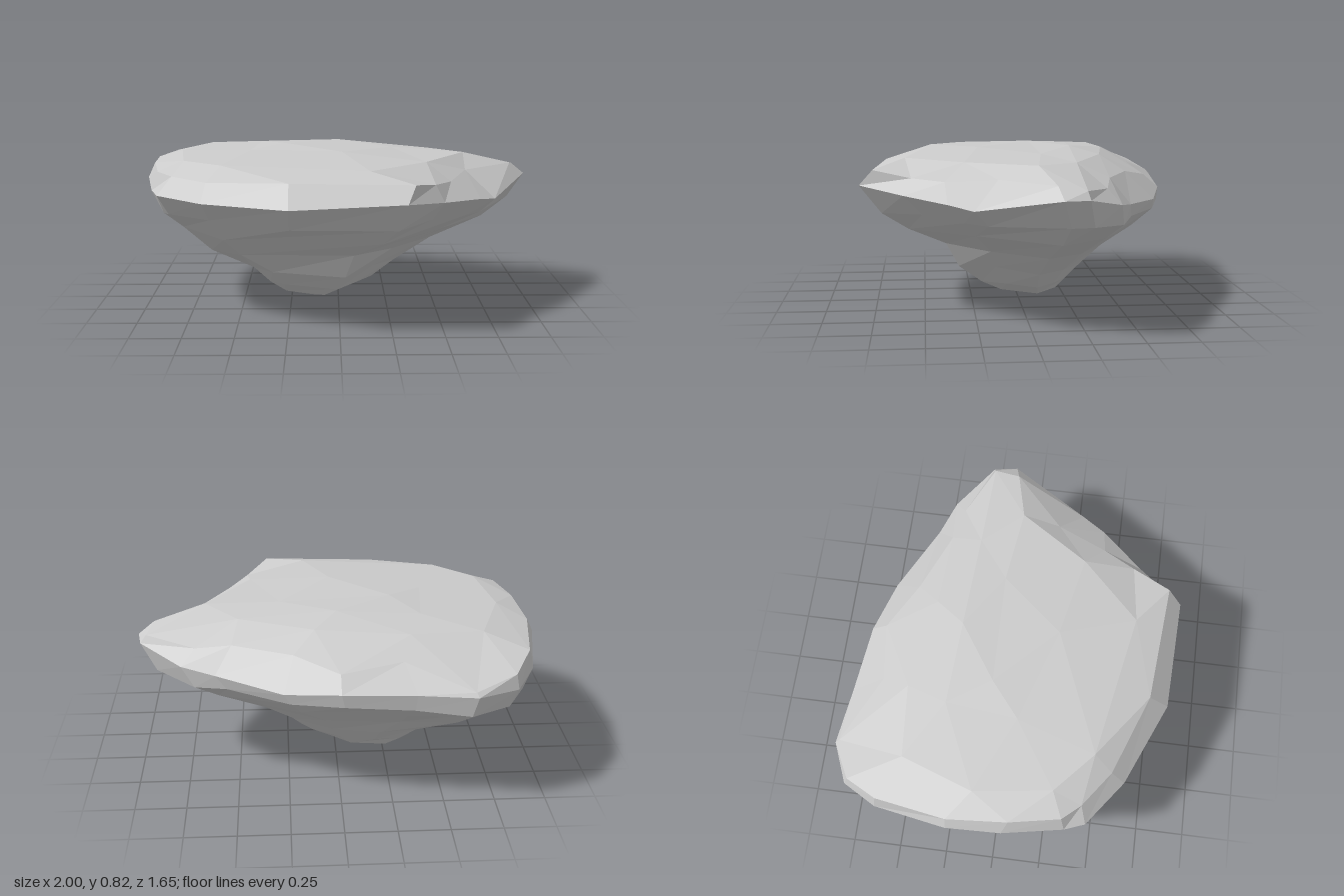
import * as THREE from 'three';

// widest outline of the rock, counter-clockwise seen from above: x, z, height
const rim = [
  [1.00, -0.12, 0.65], [0.98, -0.24, 0.65], [0.77, -0.42, 0.60], [0.60, -0.49, 0.58],
  [0.27, -0.67, 0.56], [0.00, -0.75, 0.59], [-0.35, -0.79, 0.60], [-0.63, -0.83, 0.60],
  [-0.83, -0.75, 0.60], [-0.93, -0.58, 0.63], [-1.00, -0.22, 0.67], [-0.99, 0.05, 0.66],
  [-0.93, 0.35, 0.64], [-0.89, 0.45, 0.63], [-0.66, 0.62, 0.62], [-0.24, 0.80, 0.62],
  [0.31, 0.82, 0.65], [0.50, 0.60, 0.62], [0.70, 0.39, 0.60], [0.79, 0.27, 0.58],
];

// edge of the flat top, point for point above the rim: x, z, height
const crown = [
  [0.92, -0.10, 0.71], [0.95, -0.23, 0.69], [0.70, -0.36, 0.67], [0.52, -0.40, 0.70],
  [0.22, -0.53, 0.70], [0.00, -0.67, 0.66], [-0.30, -0.63, 0.70], [-0.62, -0.81, 0.62],
  [-0.82, -0.73, 0.67], [-0.91, -0.57, 0.72], [-0.97, -0.22, 0.73], [-0.95, 0.08, 0.74],
  [-0.90, 0.33, 0.73], [-0.82, 0.42, 0.72], [-0.64, 0.55, 0.71], [-0.24, 0.70, 0.73],
  [0.35, 0.75, 0.73], [0.46, 0.56, 0.70], [0.55, 0.40, 0.69], [0.65, 0.15, 0.71],
];

// levels from top to bottom; every step-th rim point is squeezed into the
// given extents, and dent pulls in the hollow under the front left corner
const topLevels = [
  { y: 0.808, x: [-0.48, 0.28], z: [-0.32, 0.22], step: 4, jitter: 0.01 },
  { y: 0.775, x: [-0.83, 0.66], z: [-0.52, 0.60], step: 2, jitter: 0.008 },
];
const lowerLevels = [
  { y: 0.51, x: [-0.95, 0.92], z: [-0.82, 0.72], step: 1, jitter: 0.015, dent: 1 },
  { y: 0.42, x: [-0.85, 0.78], z: [-0.70, 0.61], step: 2, jitter: 0.015, dent: 0.96 },
  { y: 0.30, x: [-0.70, 0.50], z: [-0.53, 0.45], step: 2, jitter: 0.015, dent: 0.87 },
  { y: 0.19, x: [-0.47, 0.30], z: [-0.40, 0.34], step: 2, jitter: 0.015, dent: 0.95 },
  { y: 0.09, x: [-0.38, 0.18], z: [-0.30, 0.20], step: 2, jitter: 0.012, dent: 1 },
  { y: 0.03, x: [-0.29, 0.04], z: [-0.24, 0.09], step: 4, jitter: 0.008, dent: 1 },
];

function makeRandom(seed) {
  return () => {
    seed = (seed * 16807) % 2147483647;
    return seed / 2147483647 - 0.5;
  };
}

const toPoints = (outline) => outline.map(([x, z, y]) => new THREE.Vector3(x, y, z));

const squeeze = (v, [lo, hi], half) => THREE.MathUtils.mapLinear(v, -half, half, lo, hi);

function makeRing({ y, x, z, step, jitter, dent = 1 }, random) {
  const ring = [];
  for (let i = 0; i < rim.length; i += step) {
    const pull = i >= 16 ? dent : 1;
    ring.push(new THREE.Vector3(
      squeeze(rim[i][0], x, 1) * pull,
      y + 2 * jitter * random(),
      squeeze(rim[i][1], z, 0.83) * pull,
    ));
  }
  return ring;
}

// joins two rings that may have different numbers of points
function stitch(upper, lower, out) {
  const n = upper.length, m = lower.length;
  let i = 0, j = 0;
  while (i < n || j < m) {
    const a = upper[i % n], b = lower[j % m];
    if (j >= m || (i < n && (i + 1) / n <= (j + 1) / m)) {
      out.push(a, b, upper[++i % n]);
    } else {
      out.push(a, b, lower[++j % m]);
    }
  }
}

export function createModel() {
  const random = makeRandom(7);
  const rings = [
    ...topLevels.map((level) => makeRing(level, random)),
    toPoints(crown),
    toPoints(rim),
    ...lowerLevels.map((level) => makeRing(level, random)),
  ];

  const points = [];
  for (let k = 0; k < rings.length - 1; k++) stitch(rings[k], rings[k + 1], points);

  // single points close the top and the foot
  const peak = new THREE.Vector3(-0.28, 0.82, -0.08);
  const foot = new THREE.Vector3(-0.14, 0, -0.03);
  const first = rings[0], last = rings[rings.length - 1];
  first.forEach((p, i) => points.push(peak, p, first[(i + 1) % first.length]));
  last.forEach((p, i) => points.push(p, foot, last[(i + 1) % last.length]));

  const geometry = new THREE.BufferGeometry().setFromPoints(points);
  geometry.computeVertexNormals();

  const rock = new THREE.Mesh(
    geometry,
    new THREE.MeshStandardMaterial({ color: 0xcccccc, flatShading: true }),
  );
  rock.name = 'rock';

  const group = new THREE.Group();
  group.name = 'flatToppedRock';
  group.add(rock);
  return group;
}
